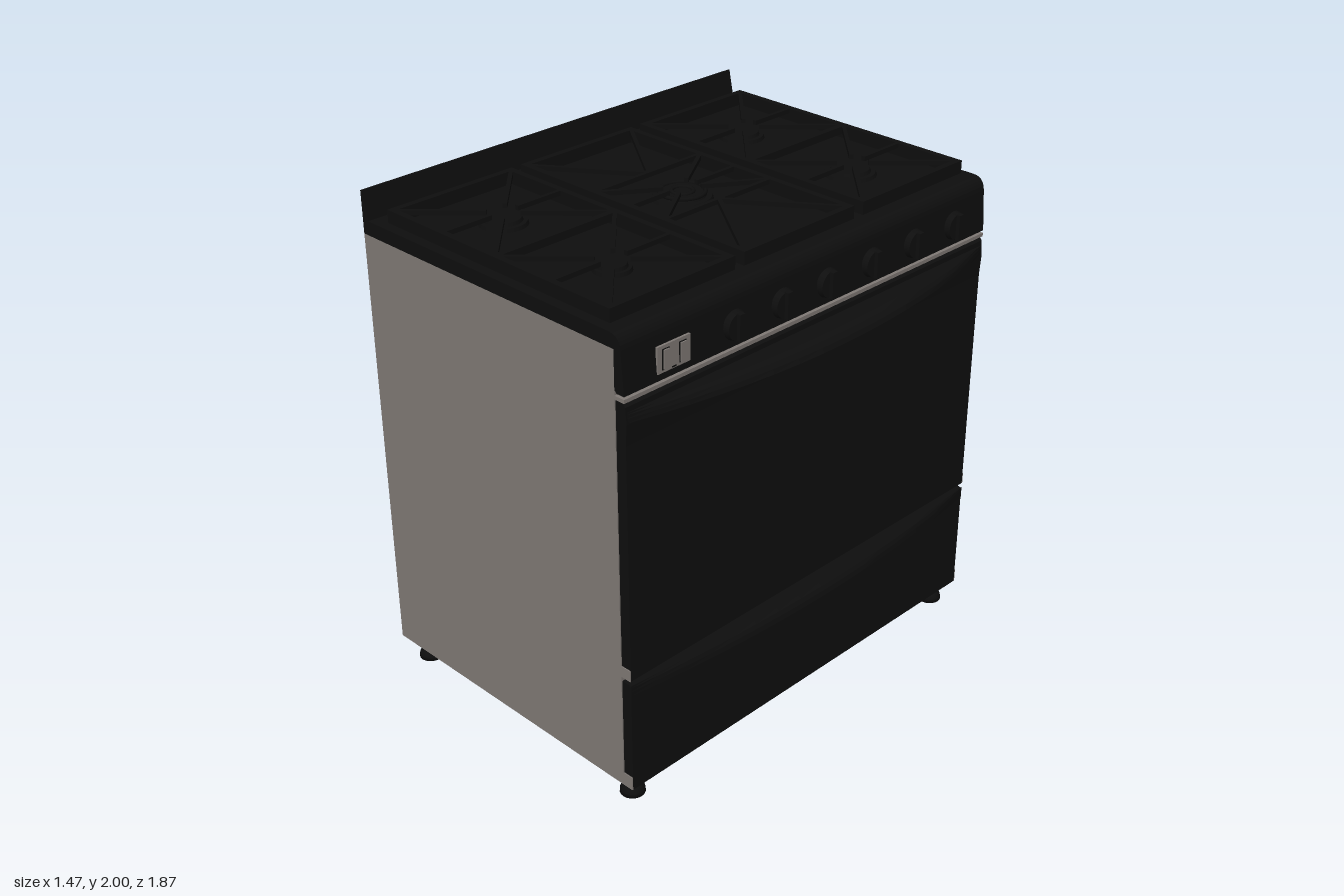
import * as THREE from 'three';

const grey = new THREE.MeshStandardMaterial({ color: 0x807a76 });
grey.name = 'grey enamel';
const black = new THREE.MeshStandardMaterial({ color: 0x0e0e0e });
black.name = 'black enamel';

const HALF = 0.935; // half width along z

export function createModel() {
  const root = new THREE.Group();
  root.name = 'stove';

  const add = (name, geo, mat, x = 0, y = 0, z = 0, parent = root) => {
    const m = new THREE.Mesh(geo, mat);
    m.name = name;
    m.position.set(x, y, z);
    parent.add(m);
    return m;
  };
  // box from min/max extents
  const box = (name, mat, x0, x1, y0, y1, z0, z1, parent = root) =>
    add(name, new THREE.BoxGeometry(x1 - x0, y1 - y0, z1 - z0), mat,
      (x0 + x1) / 2, (y0 + y1) / 2, (z0 + z1) / 2, parent);
  // side profile (x, y) swept across the width
  const sweep = (name, shape, mat, half = HALF) =>
    add(name, new THREE.ExtrudeGeometry(shape, { depth: half * 2, bevelEnabled: false, curveSegments: 6 }),
      mat, 0, 0, -half);
  const poly = (pts) => new THREE.Shape(pts.map(([x, y]) => new THREE.Vector2(x, y)));

  // cabinet
  box('cabinet', grey, -0.735, 0.56, 0.085, 1.835, -HALF, HALF);
  box('upperTrim', grey, 0.56, 0.604, 1.656, 1.67, -HALF, HALF);

  // cooktop rolling over into the control panel
  const top = new THREE.Shape();
  top.moveTo(-0.735, 1.835);
  top.lineTo(0.555, 1.835);
  top.lineTo(0.56, 1.69);
  top.lineTo(0.57, 1.68);
  top.lineTo(0.604, 1.68);
  top.lineTo(0.592, 1.84);
  top.quadraticCurveTo(0.588, 1.89, 0.54, 1.89);
  top.lineTo(-0.735, 1.89);
  sweep('cooktop', top, black);
  sweep('backsplash', poly([[-0.735, 1.89], [-0.705, 1.89], [-0.728, 2], [-0.735, 2]]), black);

  // oven door and drawer, with grey end caps near their lower edges
  sweep('ovenDoor', poly([[0.56, 0.565], [0.604, 0.565], [0.604, 1.5], [0.609, 1.58], [0.604, 1.64], [0.595, 1.65], [0.56, 1.65]]), black, 0.931);
  sweep('drawer', poly([[0.56, 0.085], [0.604, 0.085], [0.604, 0.535], [0.594, 0.545], [0.56, 0.545]]), black, 0.931);
  for (const s of [-1, 1]) {
    for (const [y0, y1] of [[0.565, 0.61], [0.085, 0.14]]) {
      box('endCap', grey, 0.56, 0.604, y0, y1, s * 0.933 - 0.002, s * 0.933 + 0.002);
    }
  }

  // bowed handles: a hooded section whose depth follows an arc across the width
  const handle = (name, y, depth, h) => {
    const section = [[0, 1], [0.6, 1], [0.8, 0.8], [0.93, 0.45], [1, 0], [0.55, 0], [0.45, 0.35], [0, 0.4]];
    const g = new THREE.ExtrudeGeometry(poly(section), { depth: 2, steps: 16, bevelEnabled: false });
    const p = g.attributes.position;
    for (let i = 0; i < p.count; i++) {
      const t = p.getZ(i) - 1;
      const d = 0.004 + depth * (1 - t * t);
      p.setXYZ(i, 0.602 + p.getX(i) * d, y + p.getY(i) * h, t * 0.931);
    }
    g.computeVertexNormals();
    add(name, g, black);
  };
  handle('ovenHandle', 1.583, 0.124, 0.038);
  handle('drawerHandle', 0.503, 0.07, 0.042);

  // knobs
  for (const z of [0.425, 0.19, -0.04, -0.28, -0.515, -0.75]) {
    const knob = new THREE.Group();
    knob.name = 'knob';
    knob.position.set(0.6, 1.755, z);
    root.add(knob);
    add('knobDial', new THREE.CylinderGeometry(0.05, 0.055, 0.024, 24).rotateZ(-Math.PI / 2), black, 0.008, 0, 0, knob);
    add('knobGrip', new THREE.BoxGeometry(0.022, 0.1, 0.024), black, 0.024, 0, 0, knob);
  }

  // switch plate with two rockers and a small indicator
  box('switchPlate', grey, 0.597, 0.606, 1.705, 1.802, 0.64, 0.788);
  for (const z of [0.675, 0.752]) {
    box('rockerFrame', black, 0.6, 0.608, 1.715, 1.79, z - 0.016, z + 0.016);
    box('rocker', grey, 0.602, 0.613, 1.718, 1.787, z - 0.012, z + 0.012);
  }
  box('indicator', black, 0.6, 0.608, 1.709, 1.714, 0.705, 0.723);

  // burners
  const burner = (x, z, r) => {
    const b = new THREE.Group();
    b.name = 'burner';
    b.position.set(x, 1.89, z);
    root.add(b);
    add('burnerBase', new THREE.CylinderGeometry(r * 0.95, r, 0.014, 32), black, 0, 0.007, 0, b);
    add('burnerCap', new THREE.CylinderGeometry(r * 0.72, r * 0.78, 0.014, 32), black, 0, 0.02, 0, b);
    return b;
  };
  const corners = [[-0.35, -0.61, 0.09], [0.21, -0.61, 0.1], [-0.35, 0.61, 0.09], [0.21, 0.61, 0.07]];
  corners.forEach((c) => burner(...c));
  const centre = burner(-0.07, 0, 0.115);
  for (const r of [0.04, 0.085]) {
    add('flameRing', new THREE.TorusGeometry(r, 0.008, 8, 32).rotateX(Math.PI / 2), black, 0, 0.028, 0, centre);
  }

  // pan supports
  const bar = (parent, x0, z0, x1, z1, w = 0.016, h = 0.018) => {
    const dx = x1 - x0, dz = z1 - z0;
    const m = add('grateBar', new THREE.BoxGeometry(Math.hypot(dx, dz), h, w), black,
      (x0 + x1) / 2, 1.94 - h / 2, (z0 + z1) / 2, parent);
    m.rotation.y = -Math.atan2(dz, dx);
  };
  // diagonal and straight fingers reaching from a cell's edge toward its burner
  const fingers = (parent, cx, cz, x0, x1, z0, z1, r) => {
    for (const [ex, ez] of [[x0, z0], [x0, z1], [x1, z0], [x1, z1], [cx, z0], [cx, z1]]) {
      const k = r / Math.hypot(ex - cx, ez - cz);
      bar(parent, ex, ez, cx + (ex - cx) * k, cz + (ez - cz) * k);
    }
  };
  const X0 = -0.63, X1 = 0.488;
  for (const [z0, z1] of [[-0.895, -0.35], [-0.275, 0.265], [0.335, 0.88]]) {
    const grate = new THREE.Group();
    grate.name = 'grate';
    root.add(grate);
    const mid = (z0 + z1) / 2;
    for (const z of [z0, z1]) bar(grate, X0 - 0.013, z, X1 + 0.013, z, 0.026, 0.05);
    for (const x of [X0, X1]) bar(grate, x, z0, x, z1, 0.026, 0.05);
    if (Math.abs(mid) < 0.1) {
      for (const x of [-0.25, 0.11]) bar(grate, x, z0, x, z1);
      fingers(grate, -0.07, 0, -0.25, 0.11, z0, z1, 0.07);
      for (const [a, b] of [[X0, -0.25], [X1, 0.11]]) {
        bar(grate, a, z0, b, mid);
        bar(grate, a, z1, b, mid);
      }
    } else {
      bar(grate, -0.07, z0, -0.07, z1, 0.026, 0.03);
      fingers(grate, -0.35, mid, X0, -0.07, z0, z1, 0.06);
      fingers(grate, 0.21, mid, -0.07, X1, z0, z1, 0.06);
    }
  }

  // feet
  const footProfile = [[0, 0], [0.048, 0], [0.046, 0.018], [0.036, 0.036], [0.023, 0.046], [0.023, 0.087]]
    .map(([x, y]) => new THREE.Vector2(x, y));
  for (const x of [-0.645, 0.53]) {
    for (const z of [-0.865, 0.865]) add('foot', new THREE.LatheGeometry(footProfile, 20), black, x, 0, z);
  }

  return root;
}
